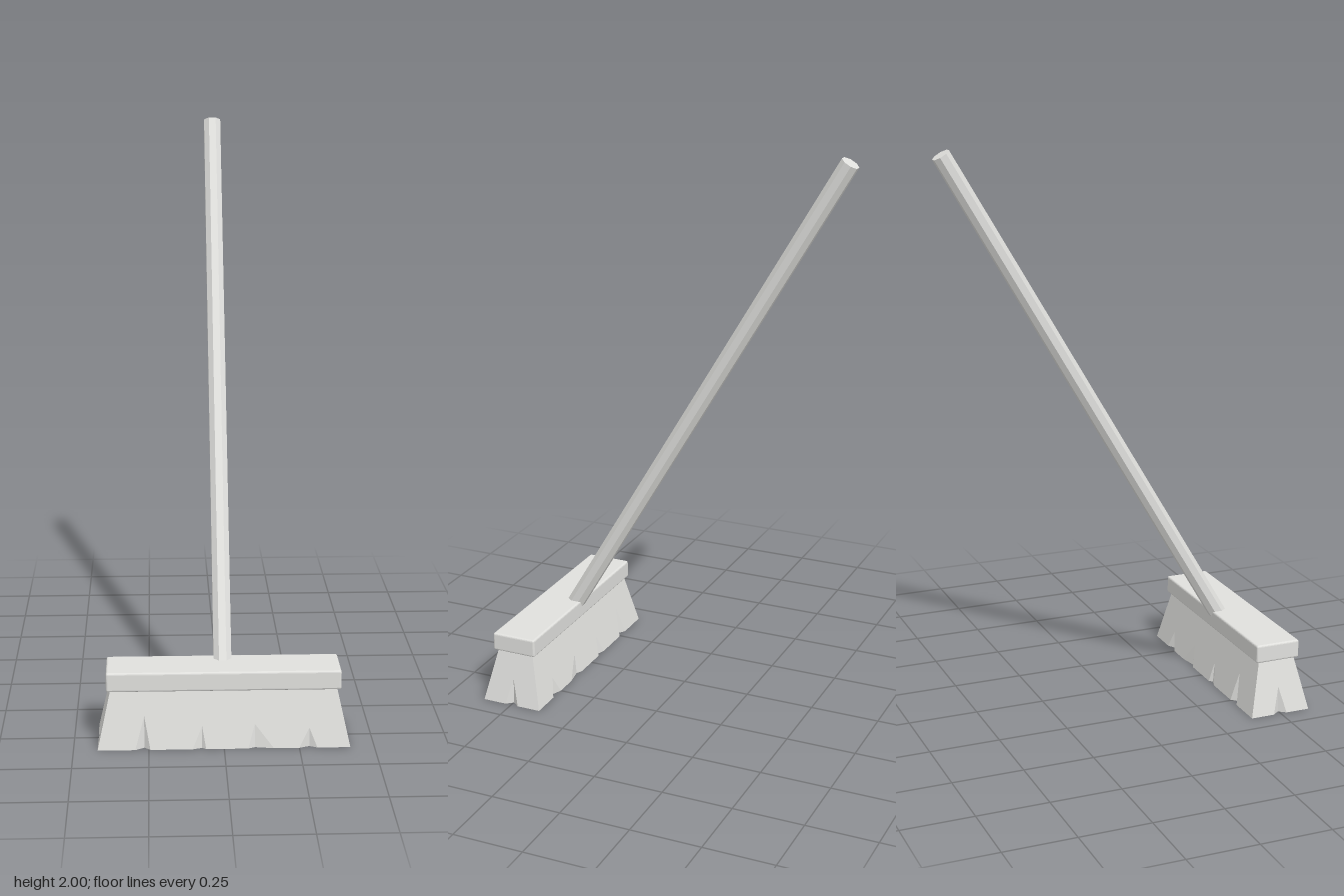
import * as THREE from 'three';
import { mergeGeometries } from 'three/addons/utils/BufferGeometryUtils.js';
import { RoundedBoxGeometry } from 'three/addons/geometries/RoundedBoxGeometry.js';

const H = 0.195; // bristle height
const CENTER_Z = 0.498;
const HALF = { x: [0.42, 0.377], z: [0.112, 0.068] }; // half sizes at [bottom, top]

// Splits along the long sides: bottom start, apex, end, height, depth
const longSplits = [
  [-0.295, -0.265, -0.245, 0.11, 0.02],
  [-0.105, -0.073, -0.06, 0.075, 0.011],
  [0.08, 0.102, 0.165, 0.08, 0.011],
  [0.25, 0.284, 0.31, 0.065, 0.014],
];
const endSplits = [[-0.025, 0, 0.025, 0.095, 0.02]];
const mirrored = (splits) => splits.map(([a, c, b, h, d]) => [-b, -c, -a, h, d]).reverse();

// One sloping wall facing +z with wedge splits, and its bottom outline
function wall(halfWidth, distance, splits) {
  const outAt = (y) => THREE.MathUtils.lerp(distance[0], distance[1], y / H);
  const shape = new THREE.Shape().moveTo(-halfWidth[0], 0);
  const outline = [new THREE.Vector3(-halfWidth[0], 0, distance[0])];
  const groove = [];
  for (const [a, c, b, h, d] of splits) {
    shape.lineTo(a, 0).lineTo(c, h).lineTo(b, 0);
    const A = new THREE.Vector3(a, 0, distance[0]);
    const B = new THREE.Vector3(b, 0, distance[0]);
    const C = new THREE.Vector3(c, 0, distance[0] - d);
    const P = new THREE.Vector3(c, h, outAt(h));
    groove.push(A, C, P, C, B, P);
    outline.push(A, C, B);
  }
  shape.lineTo(halfWidth[0], 0).lineTo(halfWidth[1], H).lineTo(-halfWidth[1], H);
  const face = new THREE.ShapeGeometry(shape).toNonIndexed();
  const pos = face.attributes.position;
  for (let i = 0; i < pos.count; i++) pos.setZ(i, outAt(pos.getY(i)));
  const cuts = new THREE.BufferGeometry().setFromPoints(groove);
  const parts = [face, cuts].map((g) => {
    g.deleteAttribute('uv');
    g.computeVertexNormals();
    return g;
  });
  return { geometry: mergeGeometries(parts), outline };
}

function bristleGeometry() {
  const sides = [
    [HALF.x, HALF.z, longSplits],
    [HALF.z, HALF.x, endSplits],
    [HALF.x, HALF.z, mirrored(longSplits)],
    [HALF.z, HALF.x, endSplits],
  ];
  const up = new THREE.Vector3(0, 1, 0);
  const parts = [], loop = [];
  sides.forEach(([width, distance, splits], k) => {
    const { geometry, outline } = wall(width, distance, splits);
    parts.push(geometry.rotateY(k * Math.PI / 2));
    for (const p of outline) {
      const q = p.clone().applyAxisAngle(up, k * Math.PI / 2);
      loop.push(new THREE.Vector2(q.x, q.z));
    }
  });
  // Underside, following the splits
  const base = new THREE.ShapeGeometry(new THREE.Shape(loop)).rotateX(Math.PI / 2).toNonIndexed();
  base.deleteAttribute('uv');
  base.computeVertexNormals();
  // Upper face, tucked under the head
  const cap = new THREE.PlaneGeometry(HALF.x[1] * 2, HALF.z[1] * 2)
    .rotateX(-Math.PI / 2).translate(0, H, 0).toNonIndexed();
  cap.deleteAttribute('uv');
  return mergeGeometries([...parts, base, cap]);
}

export function createModel() {
  const model = new THREE.Group();
  model.name = 'broom';
  const paleGrey = new THREE.MeshStandardMaterial({ color: 0xe0e0dd });
  paleGrey.name = 'paleGrey';
  paleGrey.flatShading = true;

  const add = (name, geometry) => {
    const mesh = new THREE.Mesh(geometry, paleGrey);
    mesh.name = name;
    model.add(mesh);
    return mesh;
  };

  add('bristles', bristleGeometry()).position.z = CENTER_Z;
  add('head', new RoundedBoxGeometry(0.782, 0.066, 0.166, 2, 0.007)).position.set(0, 0.225, CENTER_Z);

  // Eight-sided handle leaning backwards out of the head
  const bottom = new THREE.Vector3(0, 0.235, 0.449);
  const top = new THREE.Vector3(0, 1.985, -0.585);
  const axis = top.clone().sub(bottom);
  const pole = new THREE.CylinderGeometry(0.0325, 0.0325, axis.length(), 8).rotateY(Math.PI / 8);
  const handle = add('handle', pole);
  handle.position.copy(bottom).add(top).multiplyScalar(0.5);
  handle.quaternion.setFromUnitVectors(new THREE.Vector3(0, 1, 0), axis.normalize());

  return model;
}
